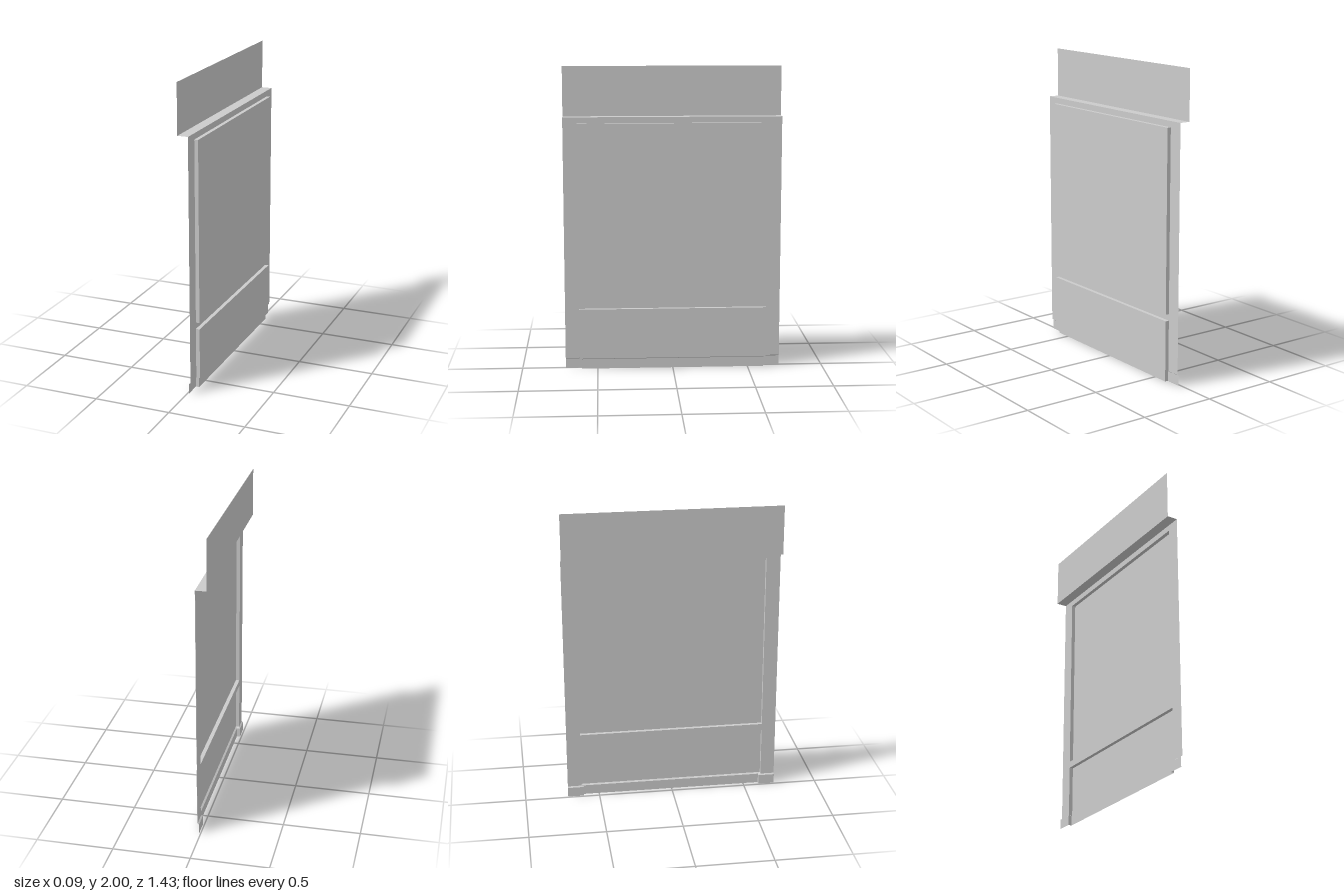
import * as THREE from 'three';

const material = new THREE.MeshStandardMaterial({
  color: 0xcccccc, flatShading: true, side: THREE.DoubleSide,
});

// Main sizes: the sheet lies across z and is relieved along x
const HALF = 0.713, EDGE = 0.62, BASE_EDGE = 0.605;
const WALL = 0.02, RAISED = 0.045, BACK = -0.049;
const BASE_Y = 0.065, SLOPE_Y = 0.072, LOWER_TOP = 0.407;
const UPPER_BOTTOM = 0.45, UPPER_TOP = 1.636, LEDGE_Y = 1.675, TOP = 2;

// Flat-faced strip through rows of [x, y, z] points
function loft(name, rows) {
  const out = [];
  for (let r = 0; r < rows.length - 1; r++) {
    for (let c = 0; c < rows[r].length - 1; c++) {
      const a = rows[r][c], b = rows[r + 1][c], d = rows[r + 1][c + 1], e = rows[r][c + 1];
      out.push(...a, ...b, ...d, ...a, ...d, ...e);
    }
  }
  const geometry = new THREE.BufferGeometry();
  geometry.setAttribute('position', new THREE.Float32BufferAttribute(out, 3));
  geometry.computeVertexNormals();
  const mesh = new THREE.Mesh(geometry, material);
  mesh.name = name;
  return mesh;
}

// Straight run of an [x, y] profile from +z to -z
function run(name, profile, half) {
  return loft(name, [half, -half].map((z) => profile.map(([x, y]) => [x, y, z])));
}

function rectangle(path, half, y0, y1) {
  path.moveTo(-half, y0);
  path.lineTo(half, y0);
  path.lineTo(half, y1);
  path.lineTo(-half, y1);
  path.closePath();
  return path;
}

export function createModel() {
  const group = new THREE.Group();
  group.name = 'wallPanel';

  // Frame around the upper panel
  const shape = rectangle(new THREE.Shape(), HALF, LOWER_TOP, LEDGE_Y);
  shape.holes.push(rectangle(new THREE.Path(), EDGE, UPPER_BOTTOM, UPPER_TOP));
  const frame = new THREE.Mesh(new THREE.ShapeGeometry(shape).rotateY(Math.PI / 2), material);
  frame.position.x = WALL;
  frame.name = 'frame';
  group.add(frame);

  // Raised upper panel and its four edges
  group.add(run('upperPanel', [[RAISED, UPPER_BOTTOM], [RAISED, UPPER_TOP]], EDGE));
  const outline = [
    [UPPER_BOTTOM, EDGE], [UPPER_TOP, EDGE], [UPPER_TOP, -EDGE],
    [UPPER_BOTTOM, -EDGE], [UPPER_BOTTOM, EDGE],
  ];
  group.add(loft('upperPanelEdges', outline.map(([y, z]) => [[RAISED, y, z], [WALL, y, z]])));

  // Lower stiles, raised panel and stepped base as one folded sheet
  const heights = [0, BASE_Y, SLOPE_Y, LOWER_TOP];
  const stileX = [0.01, 0.01, WALL, WALL];
  const panelX = [0.033, 0.033, RAISED, RAISED];
  const outer = [HALF, HALF, HALF, HALF];
  const inner = [BASE_EDGE, BASE_EDGE, EDGE, EDGE];
  const row = (xs, zs, side) => heights.map((y, i) => [xs[i], y, side * zs[i]]);
  group.add(loft('lowerPanelAndBase', [
    row(stileX, outer, 1), row(stileX, inner, 1), row(panelX, inner, 1),
    row(panelX, inner, -1), row(stileX, inner, -1), row(stileX, outer, -1),
  ]));
  group.add(run('lowerPanelTopEdge', [[RAISED, LOWER_TOP], [WALL, LOWER_TOP]], EDGE));

  // Ledge and the set-back board above it
  group.add(run('ledge', [[WALL, LEDGE_Y], [BACK, LEDGE_Y]], HALF));
  group.add(run('upperBoard', [[BACK, LEDGE_Y], [BACK, TOP]], HALF));

  return group;
}
